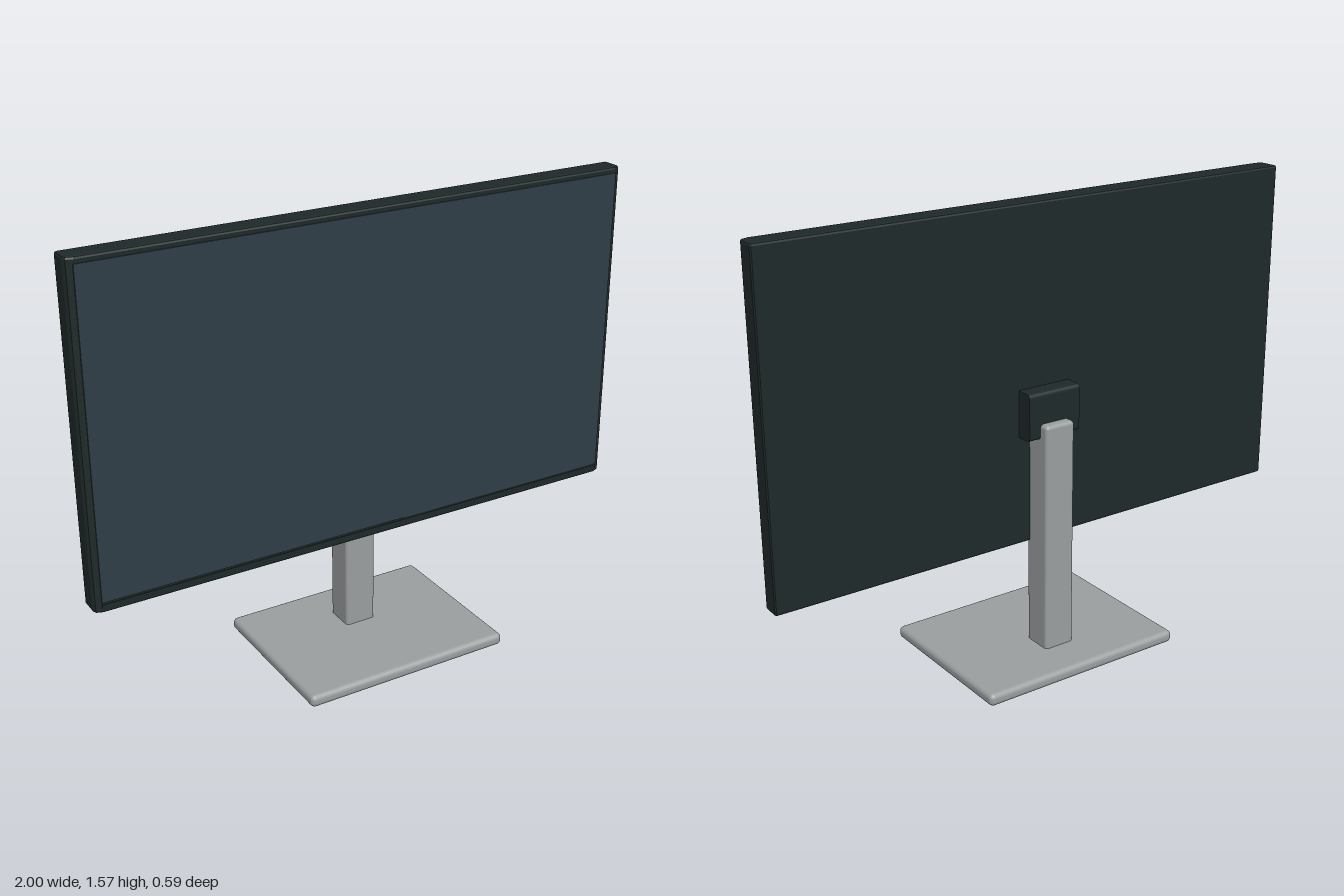
import * as THREE from 'three';
import { RoundedBoxGeometry } from 'three/addons/geometries/RoundedBoxGeometry.js';

const casing = new THREE.MeshStandardMaterial({ color: 0x1f2929 });
casing.name = 'dark casing';
const glass = new THREE.MeshStandardMaterial({ color: 0x2f3d47 });
glass.name = 'blue grey screen';
const metal = new THREE.MeshStandardMaterial({ color: 0x9b9fa0 });
metal.name = 'grey metal';

// Size and position from the extents along each axis
function fit([x0, x1], [y0, y1], [z0, z1], radius = 0) {
  const size = [x1 - x0, y1 - y0, z1 - z0];
  const geometry = radius
    ? new RoundedBoxGeometry(...size, 4, radius)
    : new THREE.BoxGeometry(...size);
  return geometry.translate((x0 + x1) / 2, (y0 + y1) / 2, (z0 + z1) / 2);
}

// Panel: plan section with slanted front corners, extruded upwards
function panelGeometry(y0, y1, back, front) {
  const w = 1, bevel = 0.008;
  const plan = [
    [-w, -back - 0.004], [-w, -front + 0.022], [-w + 0.006, -front + 0.008], [-w + 0.028, -front],
    [w - 0.028, -front], [w - 0.006, -front + 0.008], [w, -front + 0.022], [w, -back - 0.004],
    [w - 0.004, -back], [-w + 0.004, -back],
  ].map(([x, y]) => new THREE.Vector2(x, y));
  const geometry = new THREE.ExtrudeGeometry(new THREE.Shape(plan), {
    depth: y1 - y0 - 2 * bevel, bevelSize: bevel, bevelOffset: -bevel,
    bevelThickness: bevel, bevelSegments: 2,
  });
  return geometry.rotateX(-Math.PI / 2).translate(0, y0 + bevel, 0);
}

// Mount: side profile with rounded rear corners, extruded across
function mountGeometry(halfWidth, y0, y1, back, front, r) {
  const side = new THREE.Shape();
  side.moveTo(-front, y0);
  side.lineTo(-back - r, y0);
  side.quadraticCurveTo(-back, y0, -back, y0 + r);
  side.lineTo(-back, y1 - r);
  side.quadraticCurveTo(-back, y1, -back - r, y1);
  side.lineTo(-front, y1);
  const geometry = new THREE.ExtrudeGeometry(side, {
    depth: 2 * halfWidth, bevelEnabled: false, curveSegments: 5,
  });
  return geometry.translate(0, 0, -halfWidth).rotateY(Math.PI / 2);
}

export function createModel() {
  const model = new THREE.Group();
  model.name = 'monitor';
  const add = (name, geometry, material) => {
    const mesh = new THREE.Mesh(geometry, material);
    mesh.name = name;
    model.add(mesh);
  };

  // Display
  add('panel', panelGeometry(0.42, 1.575, -0.051, 0.031), casing);
  add('screen', fit([-0.975, 0.975], [0.458, 1.554], [0.028, 0.035]), glass);
  add('chinStrip', fit([-0.975, 0.975], [0.438, 0.45], [0.028, 0.033]), casing);

  // Stand
  add('mount', mountGeometry(0.1, 0.803, 0.965, -0.112, -0.045, 0.016), casing);
  add('neck', fit([-0.057, 0.057], [0.03, 0.857], [-0.146, -0.035], 0.013), metal);
  add('base', fit([-0.382, 0.382], [0.003, 0.047], [-0.294, 0.294], 0.018), metal);
  add('basePad', fit([-0.36, 0.36], [0, 0.006], [-0.272, 0.272]), casing);

  return model;
}
